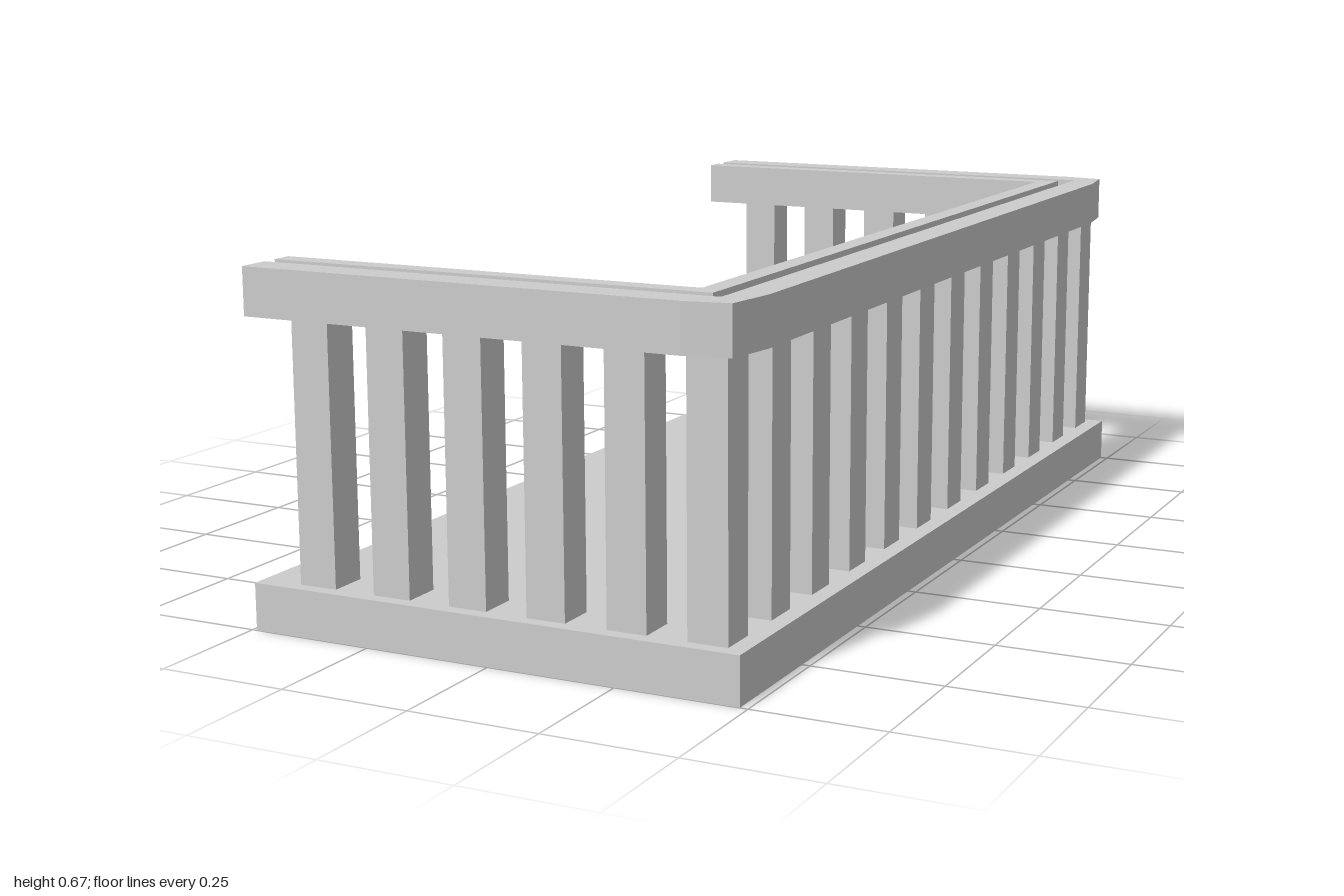
import * as THREE from 'three';

const material = new THREE.MeshStandardMaterial({ color: 0xcccccc, flatShading: true });

const BACK = -0.49; // open side of the balcony

function add(group, name, geometry, x = 0, y = 0, z = 0) {
  const mesh = new THREE.Mesh(geometry, material);
  mesh.name = name;
  mesh.position.set(x, y, z);
  group.add(mesh);
}

// Corners of half a U (z > 0), running from the open end to the bend, mirrored to the other half
function mirrored(half) {
  return [...half, ...half.slice().reverse().map(([x, z]) => [x, -z])];
}

// U-shaped band between an outer and an inner outline, lying flat from y0 to y1
function uBand(outer, inner, y0, y1) {
  const outline = [...mirrored(outer), ...mirrored(inner).reverse()];
  const shape = new THREE.Shape(outline.map(([x, z]) => new THREE.Vector2(x, -z)));
  const geometry = new THREE.ExtrudeGeometry(shape, { depth: y1 - y0, bevelEnabled: false });
  return geometry.rotateX(-Math.PI / 2).translate(0, y0, 0);
}

const square = (x, z) => [[BACK, z], [x, z]];

export function createModel() {
  const model = new THREE.Group();
  model.name = 'balcony';

  // Floor slab with a slightly raised rim on three sides
  const base = new THREE.Group();
  base.name = 'base';
  model.add(base);
  add(base, 'floor', new THREE.BoxGeometry(0.975, 0.07, 2), -0.0025, 0.035, 0);
  add(base, 'floorRim', uBand(square(0.485, 1), square(0.35, 0.865), 0.07, 0.09));

  // Handrail with cut corners and a shallow groove along its top
  const rail = new THREE.Group();
  rail.name = 'handrail';
  model.add(rail);
  const railOuter = [[BACK, 1], [0.38, 1], [0.465, 0.985], [0.48, 0.88]];
  add(rail, 'railBody', uBand(railOuter, square(0.35, 0.865), 0.58, 0.655));
  add(rail, 'railOuterLip', uBand(railOuter, square(0.42, 0.935), 0.655, 0.67));
  add(rail, 'railInnerLip', uBand(square(0.39, 0.905), square(0.35, 0.865), 0.655, 0.67));

  // Square balusters: a long row and two short side rows
  const balusters = new THREE.Group();
  balusters.name = 'balusters';
  model.add(balusters);
  const post = new THREE.BoxGeometry(0.076, 0.5, 0.076);
  const addPost = (x, z) => add(balusters, 'baluster', post, x, 0.335, z);
  for (let i = 0; i < 12; i++) addPost(0.413, 0.935 - i * 0.17);
  for (const side of [1, -1]) {
    for (let i = 0; i < 5; i++) addPost(-0.37 + i * 0.1575, side * 0.935);
  }

  return model;
}
